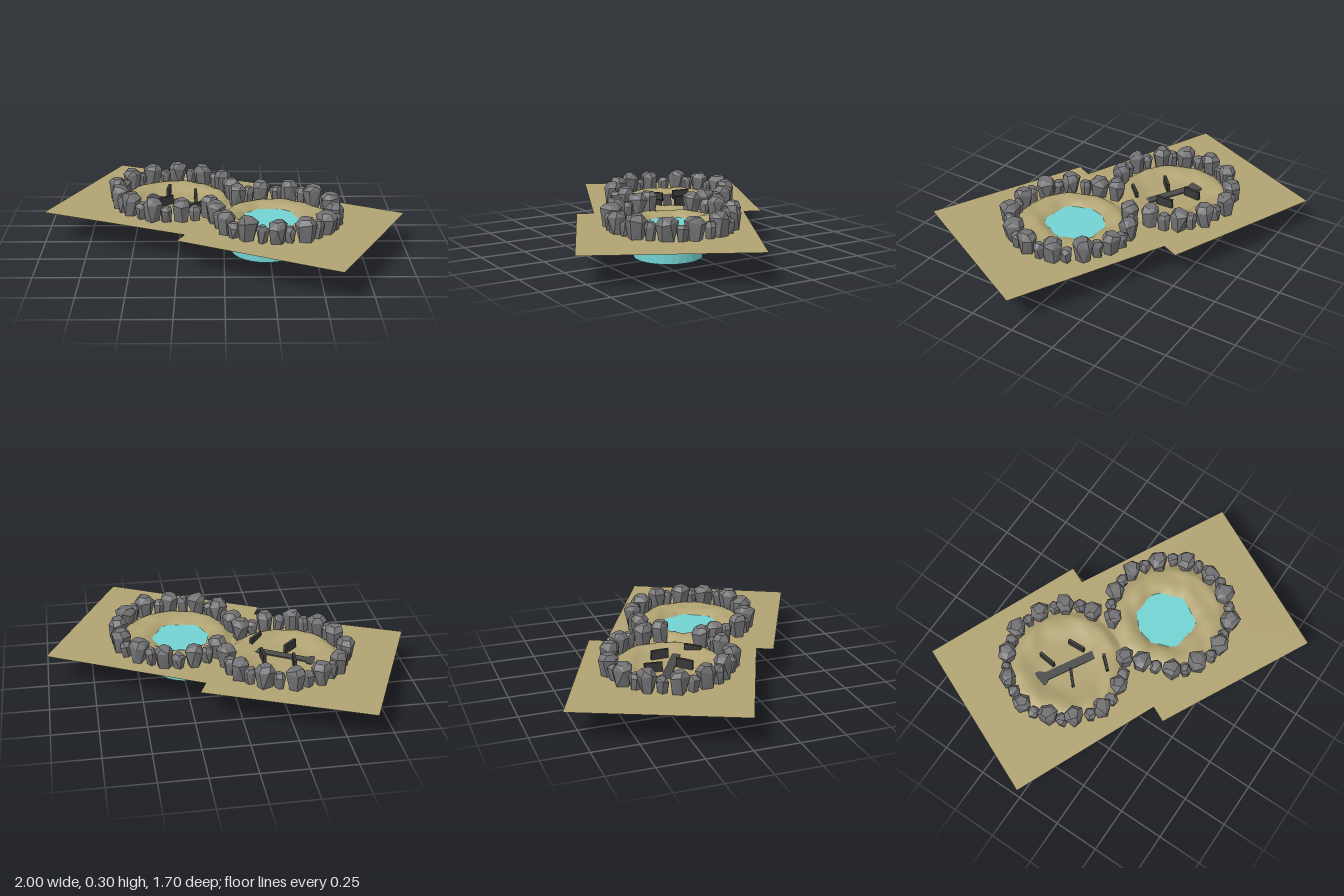
import * as THREE from 'three';
import { ConvexGeometry } from 'three/addons/geometries/ConvexGeometry.js';

const mat = (name, color, extra = {}) => {
  const m = new THREE.MeshStandardMaterial({ color, ...extra });
  m.name = name;
  return m;
};
const sand = mat('sand', 0xb0a272, { side: THREE.DoubleSide });
const stone = mat('stone', 0x727274, { flatShading: true });
const waterBlue = mat('water', 0x72d2d2, { flatShading: true });
const darkStone = mat('dark stone', 0x4c4c4c, { flatShading: true });
const charred = mat('charred wood', 0x383838, { flatShading: true });

const LEVEL = 0.176;      // height of the flat ground
const HOLE = 0.318;       // radius of each uneven patch
const DEG = Math.PI / 180;
const PITS = [
  { name: 'dryPit', x: -0.278, z: -0.19, start: 54, step: 27.2 },
  { name: 'pond', x: 0.278, z: 0.131, start: 232, step: 27.45 },
];

let seed = 11;
const rand = (a = 0, b = 1) => {
  seed = (seed * 16807) % 2147483647;
  return a + (b - a) * (seed / 2147483647);
};

function add(parent, name, geometry, material, x = 0, y = 0, z = 0, turn = 0) {
  const mesh = new THREE.Mesh(geometry, material);
  mesh.name = name;
  mesh.position.set(x, y, z);
  mesh.rotation.y = turn;
  parent.add(mesh);
  return mesh;
}

// Flat sheet: two overlapping squares with a round hole for each pit
function groundGeometry() {
  const outline = [[-1, 0], [-0.63, -0.85], [0.22, -0.49], [0.18, -0.4],
    [1, 0.02], [0.58, 0.85], [-0.25, 0.43], [-0.21, 0.345]];
  const shape = new THREE.Shape(outline.map(([x, z]) => new THREE.Vector2(x, -z)));
  for (const p of PITS) {
    shape.holes.push(new THREE.Path().absarc(p.x, -p.z, HOLE, 0, Math.PI * 2, true));
  }
  return new THREE.ShapeGeometry(shape, 28).rotateX(-Math.PI / 2);
}

// Uneven disc: raised towards the rim, low in the middle
function pitGeometry(pit) {
  const g = new THREE.RingGeometry(0.001, HOLE, 56, 18).rotateX(-Math.PI / 2);
  const pos = g.attributes.position;
  const wet = pit.name === 'pond';
  const smooth = THREE.MathUtils.smoothstep;
  for (let i = 0; i < pos.count; i++) {
    const x = pos.getX(i), z = pos.getZ(i);
    const r = Math.hypot(x, z);
    const fade = 1 - smooth(r, 0.27, HOLE);
    const ripple = Math.sin(x * 31 + 1.3 * Math.sin(z * 23)) * Math.cos(z * 27 + x * 9);
    let h;
    if (wet) {
      const d = Math.hypot(x + 0.03, z + 0.008) + 0.012 * ripple;
      h = -0.03 + 0.058 * smooth(d, 0.08, 0.22);
    } else {
      h = 0.027 * smooth(r, 0.13, 0.25);
    }
    h += 0.006 * ripple * smooth(r, 0.12, 0.2);
    if (r > 0.16) h = Math.max(h, 0);
    pos.setY(i, h * fade);
  }
  g.computeVertexNormals();
  return g;
}

// Faceted boulder: narrow foot, broad shoulder, small uneven top
function rockGeometry(radius, height) {
  const points = [];
  const rings = [[0.74, 0, 0], [1, 0.76, 0.08], [0.6, 0.97, 0.03]];
  rings.forEach(([scale, level, wobble], k) => {
    const turn = rand(0, 6.28);
    const sides = k === 1 ? 6 : 5;
    for (let i = 0; i < sides; i++) {
      const a = turn + (i + rand(-0.2, 0.2)) * Math.PI * 2 / sides;
      const r = radius * scale * rand(0.88, 1.1);
      points.push(new THREE.Vector3(Math.cos(a) * r,
        height * (level + rand(-wobble, wobble)), Math.sin(a) * r));
    }
  });
  return new ConvexGeometry(points);
}

// Horseshoe of alternating large and small boulders
function rockRing(pit) {
  const ring = new THREE.Group();
  ring.name = pit.name + 'Rocks';
  for (let i = 0; i < 23; i++) {
    const large = i % 2 === 0;
    const a = (pit.start + pit.step * i / 2 + rand(-1.5, 1.5)) * DEG;
    const r = 0.328 + rand(-0.01, 0.01);
    const g = large ? rockGeometry(rand(0.052, 0.058), rand(0.122, 0.13))
      : rockGeometry(rand(0.034, 0.039), rand(0.082, 0.1));
    add(ring, large ? 'largeRock' : 'smallRock', g, stone,
      pit.x + Math.cos(a) * r, 0.173, pit.z + Math.sin(a) * r);
  }
  return ring;
}

export function createModel() {
  const model = new THREE.Group();
  model.name = 'rockPools';

  add(model, 'ground', groundGeometry(), sand, 0, LEVEL, 0);
  for (const pit of PITS) {
    add(model, pit.name + 'Floor', pitGeometry(pit), sand, pit.x, LEVEL, pit.z);
    model.add(rockRing(pit));
  }

  // Column of water rising through the pond floor
  add(model, 'water', new THREE.CylinderGeometry(0.185, 0.185, 0.18, 28),
    waterBlue, 0.225, 0.09, 0.122);

  // Sunken path with a round end
  add(model, 'pathEnd', new THREE.CylinderGeometry(0.045, 0.045, 0.093, 14),
    darkStone, -0.426, 0.1365, -0.258);
  add(model, 'path', new THREE.BoxGeometry(0.425, 0.053, 0.046),
    darkStone, -0.245, 0.1565, -0.155, -29.6 * DEG);

  // Thin upright slabs beside the path: x, z, turn
  const slabs = [[-0.316, -0.286, 84], [-0.16, -0.2, 93],
    [-0.326, -0.115, 43], [-0.155, -0.008, 47]];
  for (const [x, z, turn] of slabs) {
    add(model, 'slab', new THREE.BoxGeometry(0.098, 0.066, 0.016),
      charred, x, 0.194, z, turn * DEG);
  }
  return model;
}
